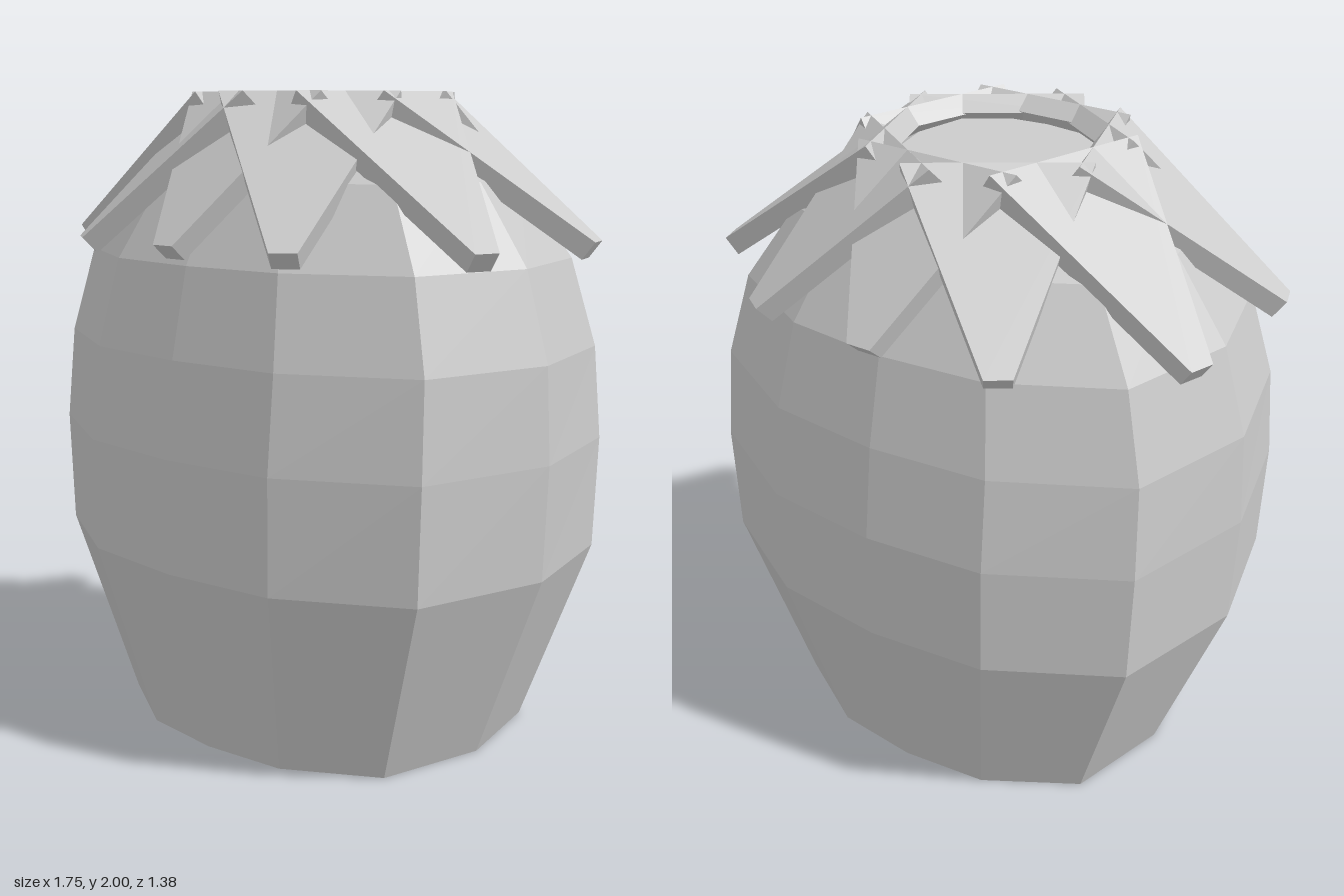
import * as THREE from 'three';

const material = new THREE.MeshStandardMaterial({ color: 0xcccccc, flatShading: true, side: THREE.DoubleSide });

// Twelve-sided squashed outline, mirrored from one quarter
const quarter = [[1, 0], [0.87, 0.64], [0.435, 0.945]];
const outline = [
  ...quarter, [0, 1],
  ...quarter.slice(1).reverse().map(([x, z]) => [-x, z]),
  ...quarter.map(([x, z]) => [-x, -z]), [0, -1],
  ...quarter.slice(1).reverse().map(([x, z]) => [x, -z]),
];

// Body rings: height, half width, half depth
const rings = [
  [0, 0.635, 0.535], [0.59, 0.86, 0.685], [0.94, 0.875, 0.69], [1.23, 0.86, 0.655],
  [1.5, 0.78, 0.595], [1.74, 0.61, 0.47], [1.93, 0.285, 0.275],
];

function mesh(name, geometry) {
  const m = new THREE.Mesh(geometry, material);
  m.name = name;
  return m;
}

function wallGeometry() {
  const positions = [];
  const point = (i, k) => {
    const [y, w, d] = rings[k];
    const [x, z] = outline[i % outline.length];
    return [x * w, y, z * d];
  };
  for (let k = 0; k < rings.length - 1; k++) {
    for (let i = 0; i < outline.length; i++) {
      const a = point(i, k), b = point(i + 1, k), c = point(i + 1, k + 1), d = point(i, k + 1);
      positions.push(...a, ...d, ...b, ...b, ...d, ...c);
    }
  }
  const g = new THREE.BufferGeometry();
  g.setAttribute('position', new THREE.Float32BufferAttribute(positions, 3));
  g.computeVertexNormals();
  return g;
}

const ringShape = ([, w, d]) => new THREE.Shape(outline.map(([x, z]) => new THREE.Vector2(x * w, z * d)));

function createLeaf(angle, tipRadius) {
  const baseRadius = 0.31, top = 2, tipHeight = 1.565, thickness = 0.065;
  const radial = new THREE.Vector3(Math.cos(angle), 0, Math.sin(angle));
  const along = radial.clone().multiplyScalar(tipRadius - baseRadius);
  along.y = tipHeight - top;
  const length = along.length();
  along.normalize();
  const normal = radial.clone().multiplyScalar(-along.y);
  normal.y = along.dot(radial);
  const across = along.clone().cross(normal);

  // Tapered slab, wide at the crown and narrow at the tip
  const shape = new THREE.Shape([[-0.27, 0], [0.27, 0], [0.04, length], [-0.04, length]]
    .map(p => new THREE.Vector2(...p)));
  const blade = new THREE.ExtrudeGeometry(shape, { depth: thickness, bevelEnabled: false });
  blade.translate(0, 0, -thickness);

  // Small pointed stud near the crown
  const stud = new THREE.ConeGeometry(0.045, 0.055, 4);
  stud.rotateX(Math.PI / 2);
  stud.translate(0, 0.085, 0.02);

  const leaf = new THREE.Group();
  leaf.name = 'leaf';
  leaf.add(mesh('leafBlade', blade), mesh('leafStud', stud));
  const base = radial.multiplyScalar(baseRadius).setY(top);
  leaf.applyMatrix4(new THREE.Matrix4().makeBasis(across, along, normal).setPosition(base));
  return leaf;
}

export function createModel() {
  const model = new THREE.Group();
  model.name = 'leafCappedBarrel';

  // Body: faceted wall, flat top, and underside with a diamond opening
  const body = new THREE.Group();
  body.name = 'body';
  const topCap = new THREE.ShapeGeometry(ringShape(rings[rings.length - 1]));
  topCap.rotateX(-Math.PI / 2).translate(0, rings[rings.length - 1][0], 0);
  const underside = ringShape(rings[0]);
  underside.holes.push(new THREE.Path([[0.3, 0], [0, -0.45], [-0.3, 0], [0, 0.45]]
    .map(p => new THREE.Vector2(...p))));
  body.add(
    mesh('bodyWall', wallGeometry()),
    mesh('bodyTop', topCap),
    mesh('bodyUnderside', new THREE.ShapeGeometry(underside).rotateX(Math.PI / 2)),
  );
  model.add(body);

  // Crown of ten drooping leaves, mirrored front to back and side to side
  const crown = new THREE.Group();
  crown.name = 'leafCrown';
  for (const [degrees, radius] of [[18, 0.885], [56, 0.765]]) {
    const a = THREE.MathUtils.degToRad(degrees);
    for (const angle of [a, Math.PI - a, Math.PI + a, -a]) crown.add(createLeaf(angle, radius));
  }
  for (const angle of [Math.PI / 2, -Math.PI / 2]) crown.add(createLeaf(angle, 0.685));
  model.add(crown);
  return model;
}
